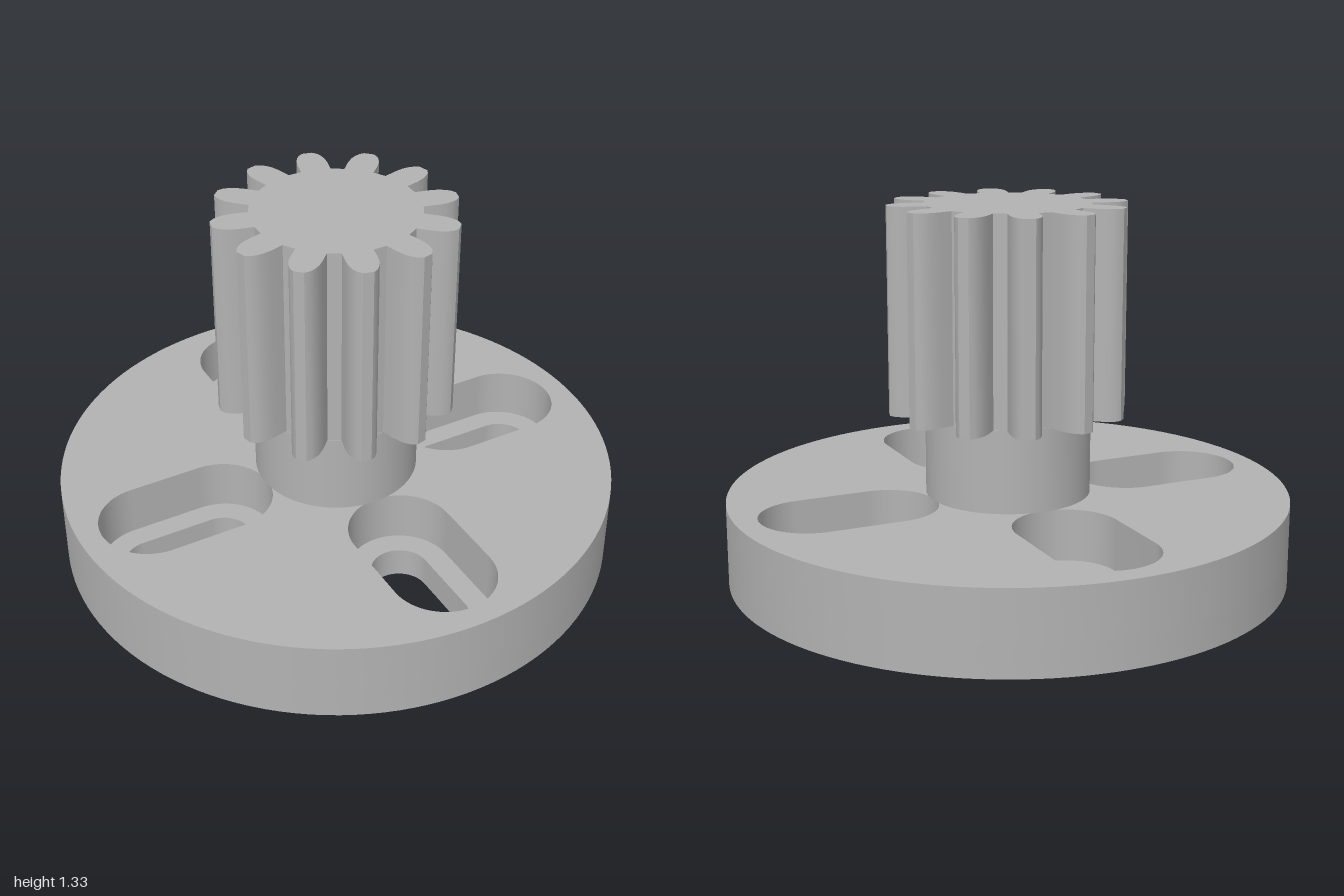
import * as THREE from 'three';
import { toCreasedNormals } from 'three/addons/utils/BufferGeometryUtils.js';

const BORE = 0.205;
const TEETH = 12;

// Circular outline
function disc(radius) {
  return new THREE.Shape().absarc(0, 0, radius, 0, Math.PI * 2, false);
}

function boreHole() {
  return new THREE.Path().absarc(0, 0, BORE, 0, Math.PI * 2, true);
}

// Rounded radial slot between two distances from the centre
function slotHole(angle, inner, outer, radius) {
  const c = Math.cos(angle), s = Math.sin(angle), q = Math.PI / 2;
  const path = new THREE.Path();
  path.absarc(outer * c, outer * s, radius, angle - q, angle + q, false);
  path.absarc(inner * c, inner * s, radius, angle + q, angle + 3 * q, false);
  path.closePath();
  return path;
}

// Pinion outline: [distance from centre, half width] along one tooth flank
function gearShape() {
  const flank = [[0.287, 0.052], [0.335, 0.053], [0.368, 0.05], [0.39, 0.043], [0.408, 0.033], [0.421, 0.018]];
  const tooth = [
    ...flank.map(([r, w]) => [r, -w]),
    ...flank.slice().reverse(),
  ];
  const points = [];
  for (let i = 0; i < TEETH; i++) {
    const a = (i / TEETH) * Math.PI * 2;
    for (const [r, w] of tooth) {
      points.push(new THREE.Vector2(r * Math.cos(a) - w * Math.sin(a), r * Math.sin(a) + w * Math.cos(a)));
    }
  }
  return new THREE.Shape(points);
}

export function createModel() {
  const model = new THREE.Group();
  const grey = new THREE.MeshStandardMaterial({ color: 0xb2b2b2 });
  grey.name = 'grey';

  // Extrude an outline upwards from y0 to y1
  function layer(name, shape, y0, y1, crease) {
    let geo = new THREE.ExtrudeGeometry(shape, { depth: y1 - y0, bevelEnabled: false, curveSegments: 64 });
    geo.rotateX(-Math.PI / 2);
    geo.translate(0, y0, 0);
    geo = toCreasedNormals(geo, crease);
    const mesh = new THREE.Mesh(geo, grey);
    mesh.name = name;
    model.add(mesh);
  }

  // Base flange: narrow slots below, wider recesses above
  function flange(slotRadius) {
    const shape = disc(1);
    shape.holes.push(boreHole());
    for (let i = 0; i < 4; i++) {
      shape.holes.push(slotHole(Math.PI / 4 + i * Math.PI / 2, 0.468, 0.735, slotRadius));
    }
    return shape;
  }
  layer('flangeLower', flange(0.103), 0, 0.11, 0.5);
  layer('flangeUpper', flange(0.185), 0.11, 0.295, 0.5);

  // Hollow neck
  const neck = disc(0.293);
  neck.holes.push(boreHole());
  layer('neck', neck, 0.295, 0.59, 0.5);

  // Pinion gear
  layer('pinion', gearShape(), 0.59, 1.325, 0.4);

  return model;
}
